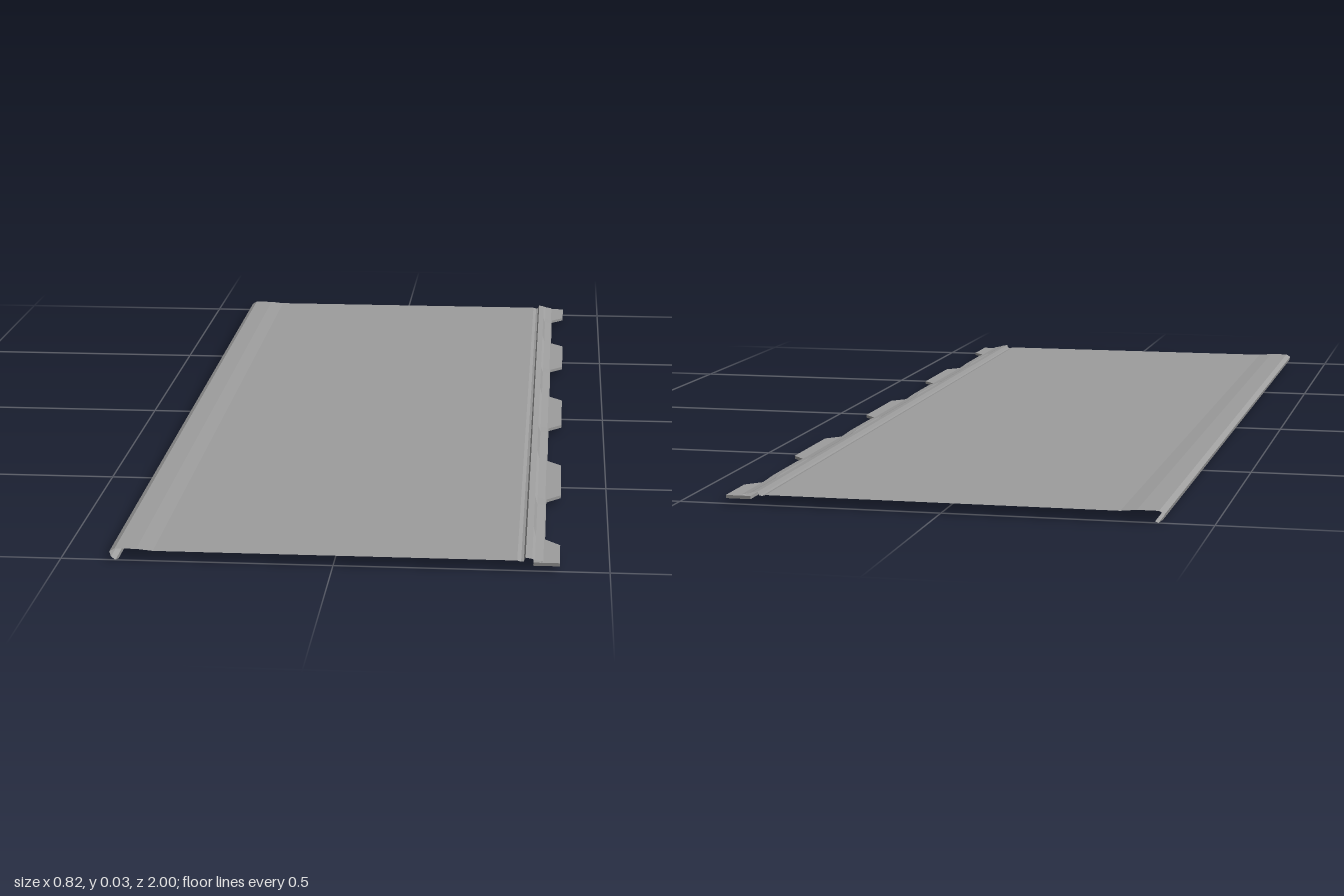
import * as THREE from 'three';

const material = new THREE.MeshStandardMaterial({ color: 0x9d9d9d, side: THREE.DoubleSide, flatShading: true });

// Thin bent sheet lofted through sections { z, profile of [x, y] points }
function loft(name, sections) {
  const positions = [];
  for (let s = 0; s < sections.length - 1; s++) {
    const { z: z0, profile: p } = sections[s];
    const { z: z1, profile: q } = sections[s + 1];
    for (let i = 0; i < p.length - 1; i++) {
      positions.push(...p[i], z0, ...q[i], z1, ...q[i + 1], z1);
      positions.push(...p[i], z0, ...q[i + 1], z1, ...p[i + 1], z0);
    }
  }
  const geometry = new THREE.BufferGeometry();
  geometry.setAttribute('position', new THREE.Float32BufferAttribute(positions, 3));
  geometry.computeVertexNormals();
  const mesh = new THREE.Mesh(geometry, material);
  mesh.name = name;
  return mesh;
}

// Sheet with the same profile along the full length
const sheet = (name, profile) => loft(name, [{ z: -1, profile }, { z: 1, profile }]);

// Folded ridge whose outer edge lifts between the tabs
function foldedRidge() {
  const section = (z, lift) => ({
    z,
    profile: [[0.348, 0.025], [0.36, 0.023], [0.365, 0.021 + lift], [0.38, 0.018 + lift], [0.376, 0.016], [0.362, 0.015]],
  });
  const sections = [section(-1, 0)];
  for (let gap = -0.75; gap < 1; gap += 0.5) {
    sections.push(section(gap - 0.12, 0), section(gap - 0.07, 0.002), section(gap + 0.07, 0.002), section(gap + 0.12, 0));
  }
  sections.push(section(1, 0));
  return loft('foldedRidge', sections);
}

// Flange with chamfered tabs centred every 0.5 along z
function tabbedFlange() {
  const inner = 0.362, base = 0.382, tip = 0.41;
  const shape = new THREE.Shape();
  shape.moveTo(inner, -1);
  shape.lineTo(tip, -1);
  for (let gap = -0.75; gap < 1; gap += 0.5) {
    shape.lineTo(tip, gap - 0.15);
    shape.lineTo(base, gap - 0.12);
    shape.lineTo(base, gap + 0.12);
    shape.lineTo(tip, gap + 0.15);
  }
  shape.lineTo(tip, 1);
  shape.lineTo(inner, 1);
  shape.closePath();
  const geometry = new THREE.ExtrudeGeometry(shape, { depth: 0.006, bevelEnabled: false });
  geometry.rotateX(Math.PI / 2);
  geometry.translate(0, 0.016, 0);
  const mesh = new THREE.Mesh(geometry, material);
  mesh.name = 'tabbedFlange';
  return mesh;
}

export function createModel() {
  const group = new THREE.Group();
  group.name = 'claddingPanel';

  // Down-turned edge, tucked under at the bottom
  group.add(sheet('edgeLip', [[-0.393, 0.003], [-0.399, 0], [-0.407, 0.006], [-0.41, 0.016], [-0.4, 0.022]]));

  // Wide flat face with a shallow step beside the lip
  group.add(sheet('panelFace', [[-0.4, 0.022], [-0.36, 0.022], [-0.33, 0.019], [0.333, 0.019]]));

  // Shallow groove that rises to the folded ridge
  group.add(sheet('lockingGroove', [[0.333, 0.019], [0.34, 0.017], [0.345, 0.018], [0.348, 0.025]]));
  group.add(foldedRidge());

  group.add(tabbedFlange());
  return group;
}
